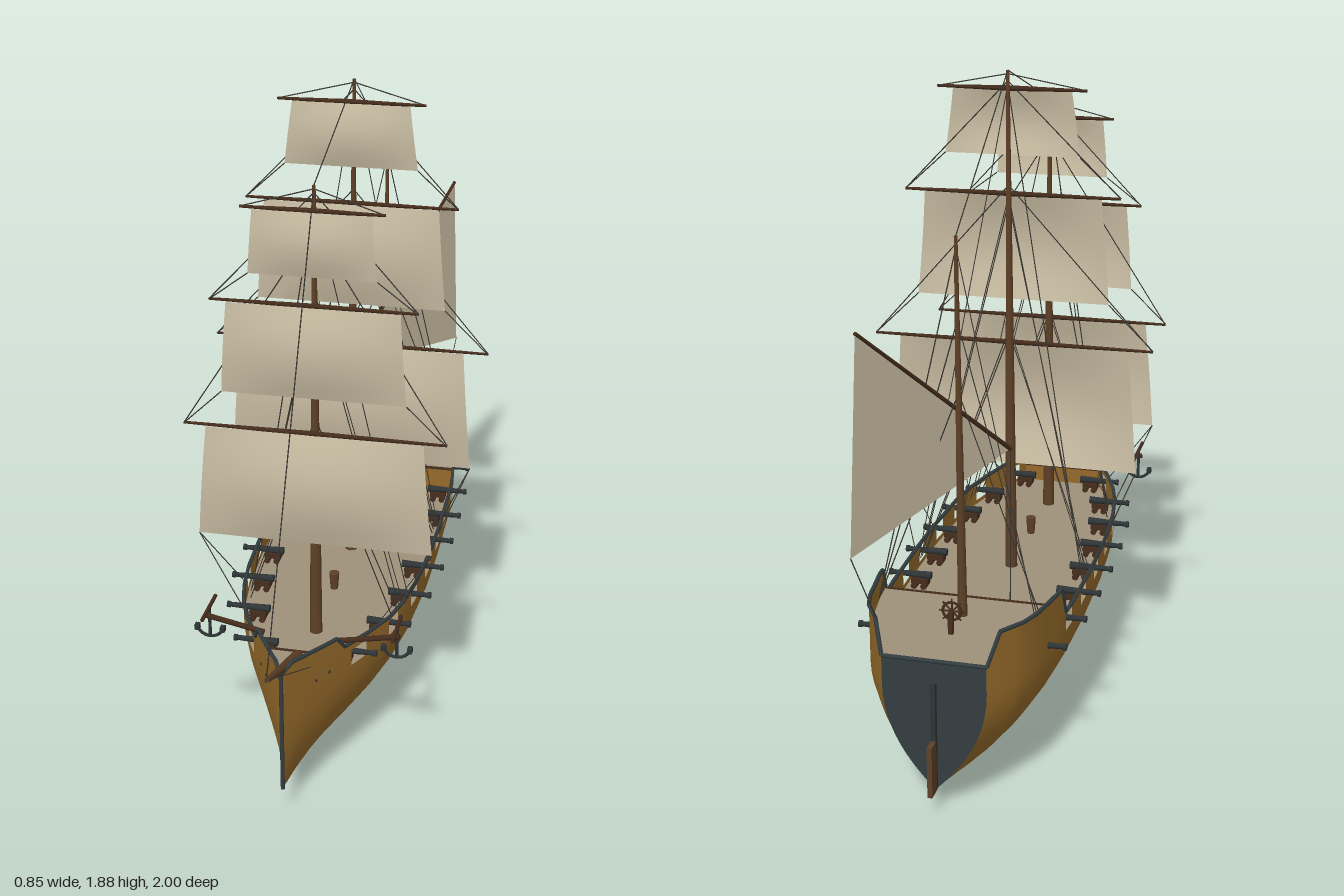
import * as THREE from 'three';
import { mergeGeometries } from 'three/addons/utils/BufferGeometryUtils.js';

const mat = (name, color, side = THREE.FrontSide) => {
  const m = new THREE.MeshStandardMaterial({ color, side });
  m.name = name;
  return m;
};
const V = (x, y, z) => new THREE.Vector3(x, y, z);

// Linear lookup in a list of [z, value] pairs, sorted by z
function lookup(table, z) {
  if (z <= table[0][0]) return table[0][1];
  for (let i = 1; i < table.length; i++) {
    const [z0, a] = table[i - 1], [z1, b] = table[i];
    if (z <= z1) return a + (b - a) * (z - z0) / (z1 - z0);
  }
  return table[table.length - 1][1];
}

// Hull lines: half breadth, keel height and sheer height along z
const BREADTH = [[-0.937, 0.145], [-0.9, 0.172], [-0.82, 0.217], [-0.75, 0.237], [-0.6, 0.26], [-0.45, 0.271], [-0.2, 0.276],
  [0, 0.274], [0.2, 0.262], [0.32, 0.245], [0.42, 0.22], [0.52, 0.18], [0.62, 0.13], [0.7, 0.088], [0.78, 0.043], [0.845, 0.003]];
const KEEL = [[-0.937, 0.055], [-0.85, 0.032], [-0.7, 0.014], [-0.5, 0.005], [-0.3, 0], [0, 0.004], [0.3, 0.012], [0.5, 0.026], [0.7, 0.052], [0.845, 0.09]];
const SHEER = [[-0.937, 0.44], [-0.9, 0.53], [-0.7, 0.515], [-0.565, 0.508], [-0.525, 0.418], [0, 0.415], [0.4, 0.42],
  [0.62, 0.435], [0.65, 0.477], [0.81, 0.492], [0.845, 0.472]];
const PORTS = [-0.49, -0.315, -0.14, 0.035, 0.21, 0.385, 0.56];
const PORT_LOW = 0.357, PORT_HIGH = 0.407, PORT_HALF = 0.031, DECK = 0.345;

function halfAt(z, y) {
  const k = lookup(KEEL, z);
  const t = Math.min(1, Math.max(0, (y - k) / (0.36 - k)));
  return lookup(BREADTH, z) * (1 - Math.pow(1 - t, 2.1));
}
const STATIONS = [...new Set([...BREADTH, ...KEEL, ...SHEER].map(p => p[0])
  .concat(PORTS.flatMap(p => [p - PORT_HALF, p + PORT_HALF])))].sort((a, b) => a - b);

function gridGeometry(pos, idx) {
  const g = new THREE.BufferGeometry();
  g.setAttribute('position', new THREE.Float32BufferAttribute(pos, 3));
  g.setIndex(idx);
  g.computeVertexNormals();
  return g;
}

// Heights of one cross-section, from keel to sheer
function sectionHeights(z) {
  const k = lookup(KEEL, z), ys = [];
  for (let j = 0; j <= 14; j++) ys.push(k + (PORT_LOW - k) * Math.pow(j / 14, 1.5));
  return ys.concat(PORT_HIGH, lookup(SHEER, z));
}

// One side of the planking, leaving the gun ports open
function hullSide(s) {
  const pos = [], idx = [], n = 17;
  STATIONS.forEach(z => sectionHeights(z).forEach(y => pos.push(s * halfAt(z, y), y, z)));
  for (let i = 0; i < STATIONS.length - 1; i++) {
    const mid = (STATIONS[i] + STATIONS[i + 1]) / 2;
    const open = PORTS.some(p => Math.abs(p - mid) < PORT_HALF);
    for (let j = 0; j < n - 1; j++) {
      if (open && j === 14) continue;
      const a = i * n + j, b = a + 1, c = a + n, d = c + 1;
      if (s > 0) idx.push(a, b, c, b, d, c); else idx.push(a, c, b, b, c, d);
    }
  }
  return gridGeometry(pos, idx);
}

function deckGeometry(z0, z1, y) {
  const zs = [z0, ...STATIONS.filter(z => z > z0 && z < z1), z1], pos = [], idx = [];
  zs.forEach((z, i) => {
    const w = halfAt(z, y) - 0.001;
    pos.push(-w, y, z, w, y, z);
    if (i) { const a = 2 * i - 2; idx.push(a, a + 2, a + 1, a + 1, a + 2, a + 3); }
  });
  return gridGeometry(pos, idx);
}

// Tapered round bar between two points
function rod(a, b, r0, r1 = r0, sides = 8) {
  const d = b.clone().sub(a);
  const g = new THREE.CylinderGeometry(r1, r0, d.length(), sides);
  g.applyQuaternion(new THREE.Quaternion().setFromUnitVectors(V(0, 1, 0), d.normalize()));
  return g.translate((a.x + b.x) / 2, (a.y + b.y) / 2, (a.z + b.z) / 2);
}
const box = (w, h, d, x, y, z) => new THREE.BoxGeometry(w, h, d).translate(x, y, z);

// Square sail, bellied forward
function squareSail(yTop, yBot, wTop, wBot, z) {
  const g = new THREE.PlaneGeometry(2, 1, 12, 10), p = g.attributes.position;
  for (let i = 0; i < p.count; i++) {
    const u = p.getX(i), v = 0.5 - p.getY(i);
    const belly = 0.1 * (yTop - yBot) * Math.sin(Math.PI * v) * (0.25 + 0.75 * (1 - u * u));
    p.setXYZ(i, u * (wTop + (wBot - wTop) * v), yTop + (yBot - yTop) * v, z + belly);
  }
  g.computeVertexNormals();
  return g;
}

export function createModel() {
  const ship = new THREE.Group();
  const planks = mat('hull planking', 0x956a2a, THREE.DoubleSide);
  const deckWood = mat('deck wood', 0x9f917a, THREE.DoubleSide);
  const canvas = mat('sail canvas', 0xc8bca2, THREE.DoubleSide);
  const slate = mat('slate trim', 0x333d40, THREE.DoubleSide);
  const spar = mat('spar wood', 0x5e4027);
  const darkWood = mat('dark wood', 0x452c1c);
  const iron = mat('iron', 0x2e3436);
  const rope = mat('rope', 0x3b3833);
  const add = (name, geo, material) => {
    const m = new THREE.Mesh(Array.isArray(geo) ? mergeGeometries(geo) : geo, material);
    m.name = name;
    ship.add(m);
  };

  // Hull, transom and decks
  add('hullLeft', hullSide(1), planks);
  add('hullRight', hullSide(-1), planks);
  const sternZ = STATIONS[0], side = sectionHeights(sternZ).map(y => new THREE.Vector2(halfAt(sternZ, y), y));
  const outline = side.concat(side.slice(1).reverse().map(p => new THREE.Vector2(-p.x, p.y)));
  add('transom', new THREE.ShapeGeometry(new THREE.Shape(outline)).rotateY(Math.PI).translate(0, 0, sternZ - 0.002), slate);
  add('mainDeck', deckGeometry(-0.54, 0.62, DECK), deckWood);
  add('quarterDeck', deckGeometry(-0.937, -0.54, 0.44), deckWood);
  add('foreDeck', deckGeometry(0.62, 0.84, 0.4), deckWood);
  const bulkheads = [[-0.54, 0.44], [0.62, 0.4]];
  add('bulkheads', bulkheads.map(([z, y]) => box(2 * halfAt(z, y) - 0.006, y - DECK, 0.006, 0, (y + DECK) / 2, z)), planks);
  add('deckBeams', bulkheads.map(([z, y]) => box(2 * halfAt(z, y) - 0.006, 0.006, 0.008, 0, y, z)), darkWood);

  // Rail along the sheer, stem and stern edges
  const trim = [rod(V(0, 0.09, 0.846), V(0, 0.475, 0.846), 0.006), rod(V(-0.145, 0.44, sternZ), V(0.145, 0.44, sternZ), 0.006)];
  for (const s of [1, -1]) {
    const pts = STATIONS.map(z => V(s * lookup(BREADTH, z), lookup(SHEER, z), z));
    for (let i = 1; i < pts.length; i++) trim.push(rod(pts[i - 1], pts[i], 0.006, 0.006, 6));
  }
  add('railTrim', trim, slate);
  add('rudderPost', box(0.014, 0.32, 0.014, 0, 0.22, -0.947), iron);
  add('rudder', box(0.014, 0.15, 0.045, 0, 0.135, -0.97), spar);

  // Guns on their carriages
  const barrels = [], carriages = [];
  for (const z of [...PORTS, -0.67]) for (const s of [1, -1]) {
    const w = lookup(BREADTH, z), y = 0.385;
    barrels.push(rod(V(s * (w - 0.08), y, z), V(s * (w + 0.05), y, z), 0.012, 0.007, 10));
    barrels.push(rod(V(s * (w + 0.042), y, z), V(s * (w + 0.052), y, z), 0.01, 0.01, 10));
    carriages.push(box(0.052, 0.016, 0.028, s * (w - 0.045), 0.368, z));
    for (const dx of [-0.06, -0.03])
      carriages.push(rod(V(s * (w + dx), 0.355, z - 0.022), V(s * (w + dx), 0.355, z + 0.022), 0.01, 0.01, 8));
  }
  add('gunBarrels', barrels, iron);
  add('gunCarriages', carriages, darkWood);

  // Catheads with hanging anchors, hawse holes
  const anchors = [], catheads = [], stocks = [];
  for (const s of [1, -1]) {
    const x = s * 0.275, z = 0.59;
    catheads.push(rod(V(s * 0.11, 0.44, 0.6), V(s * 0.285, 0.475, 0.6), 0.008));
    stocks.push(rod(V(x, 0.497, 0.525), V(x, 0.497, 0.665), 0.006));
    anchors.push(rod(V(x, 0.5, z), V(x, 0.4, z), 0.005));
    const arc = new THREE.TorusGeometry(0.04, 0.005, 6, 12, Math.PI * 0.8);
    anchors.push(arc.rotateZ(Math.PI * 1.1).translate(x, 0.44, z));
    for (const e of [-1, 1]) anchors.push(box(0.014, 0.016, 0.018, x + e * 0.038, 0.428, z));
    for (const hz of [0.68, 0.73]) anchors.push(new THREE.SphereGeometry(0.005, 8, 6).translate(s * halfAt(hz, 0.385), 0.385, hz));
  }
  add('anchors', anchors, iron);
  add('catheads', catheads, darkWood);
  add('anchorStocks', stocks, darkWood);

  // Capstan and steering wheel
  add('capstan', [rod(V(0, DECK, 0.16), V(0, 0.4, 0.16), 0.012, 0.016, 12)], spar);
  const wheel = [new THREE.TorusGeometry(0.026, 0.004, 6, 20).translate(0, 0.502, -0.76)];
  for (let i = 0; i < 4; i++) {
    const c = 0.036 * Math.cos(i * Math.PI / 4), d = 0.036 * Math.sin(i * Math.PI / 4);
    wheel.push(rod(V(-c, 0.502 - d, -0.76), V(c, 0.502 + d, -0.76), 0.0025, 0.0025, 6));
  }
  add('steeringWheel', [...wheel, box(0.014, 0.065, 0.014, 0, 0.472, -0.772)], darkWood);

  // Masts and bowsprit
  const masts = {
    fore: { foot: V(0, DECK, 0.415), head: V(0, 1.72, 0.4) },
    main: { foot: V(0, DECK, -0.1), head: V(0, 1.88, -0.132) },
    mizzen: { foot: V(0, 0.44, -0.655), head: V(0, 1.53, -0.68) }
  };
  const onMast = (m, y) => m.foot.clone().lerp(m.head, (y - m.foot.y) / (m.head.y - m.foot.y));
  for (const [name, m] of Object.entries(masts))
    add(name + 'Mast', rod(m.foot, m.head, name === 'mizzen' ? 0.014 : 0.019, 0.005, 12), spar);
  const tip = V(0, 0.55, 1);
  add('bowsprit', rod(V(0, 0.407, 0.655), tip, 0.018, 0.007, 12), spar);

  // Square rig: yard height and half length, sail foot, head and foot half widths, lift height
  const lines = [];
  const line = (a, b) => lines.push(rod(a, b, 0.0017, 0.0017, 4));
  const yards = [];
  const rig = {
    fore: { z: 0.432, sails: [[1, 0.38, 0.65, 0.315, 0.345, 1.6], [1.385, 0.293, 1.11, 0.245, 0.265, 1.7], [1.657, 0.2, 1.47, 0.165, 0.18, 1.71]] },
    main: { z: -0.083, sails: [[1.068, 0.425, 0.68, 0.35, 0.38, 1.55], [1.518, 0.322, 1.2, 0.265, 0.29, 1.85], [1.823, 0.22, 1.63, 0.175, 0.2, 1.87]] }
  };
  for (const [name, { z, sails }] of Object.entries(rig)) sails.forEach(([y, len, foot, wTop, wBot, lift], i) => {
    add(name + 'Sail' + (i + 1), squareSail(y - 0.004, foot, wTop, wBot, z), canvas);
    for (const s of [1, -1]) {
      const arm = V(s * len, y, z - 0.006), clew = V(s * wBot, foot, z);
      yards.push(rod(V(0, y, z - 0.006), arm, 0.008, 0.004));
      line(arm, onMast(masts[name], lift));
      if (i) line(clew, V(s * sails[i - 1][1], sails[i - 1][0], z));
      else for (const dz of [-0.13, 0.06]) line(clew, V(s * lookup(BREADTH, z + dz), lookup(SHEER, z + dz), z + dz));
    }
  });

  // Lateen mizzen sail
  const tack = V(-0.075, 0.85, -0.405), peak = V(0.185, 1.335, -0.955), clew = V(0.2, 0.74, -0.998);
  add('mizzenSail', gridGeometry([tack, peak, clew].flatMap(p => p.toArray()), [0, 1, 2]), canvas);
  yards.push(rod(tack, peak, 0.007, 0.005));
  add('yards', yards, darkWood);
  line(clew, V(0.17, 0.53, -0.9));
  line(tack, V(-0.075, DECK, -0.41));

  // Stays from the bowsprit over the mastheads, and bobstays to the bow
  line(tip, masts.fore.head);
  line(masts.fore.head, masts.main.head);
  line(masts.main.head, masts.mizzen.head);
  for (const s of [1, -1]) line(tip, V(s * 0.06, 0.44, 0.75));

  // Shrouds: height on the mast and z of the rail end
  const shrouds = {
    fore: [[1.02, 0.36], [1.04, 0.32], [1.4, 0.3], [1.42, 0.27], [1.68, 0.22]],
    main: [[1.1, -0.16], [1.12, -0.185], [1.5, -0.205], [1.52, -0.225], [1.84, -0.25]],
    mizzen: [[1.1, -0.69], [1.3, -0.705], [1.5, -0.72]]
  };
  for (const [name, list] of Object.entries(shrouds)) for (const [y, z] of list) for (const s of [1, -1])
    line(onMast(masts[name], y), V(s * (lookup(BREADTH, z) - 0.02), lookup(SHEER, z) - 0.02, z));
  add('rigging', lines, rope);
  return ship;
}
